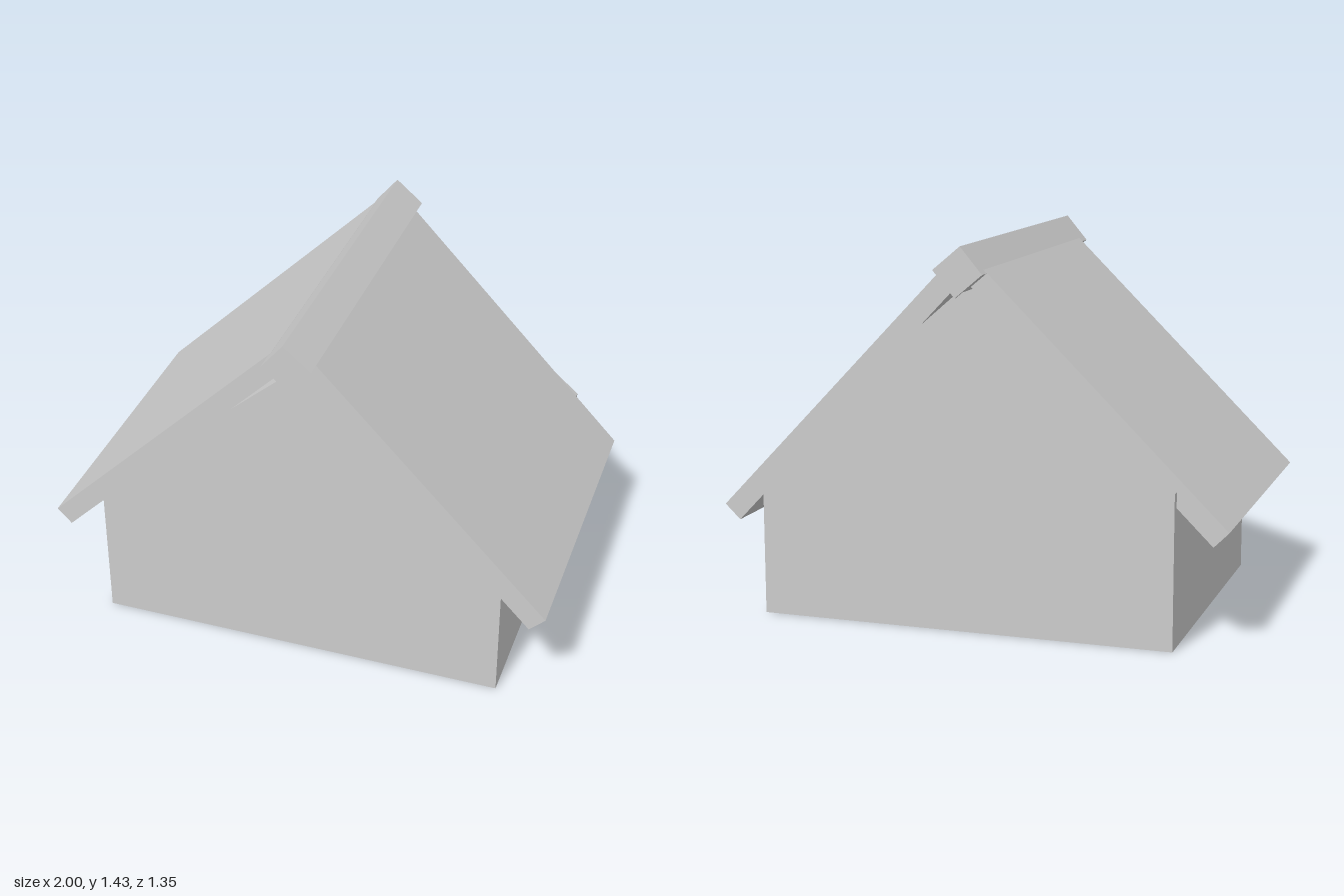
import * as THREE from 'three';

const material = new THREE.MeshStandardMaterial({ color: 0xcccccc, flatShading: true });
const deg = THREE.MathUtils.degToRad;

// A long beam running front to back, tilted about z.
function beam(name, width, height, depth, x, y, z, tilt) {
  const mesh = new THREE.Mesh(new THREE.BoxGeometry(width, height, depth), material);
  mesh.name = name;
  mesh.position.set(x, y, z);
  mesh.rotation.z = deg(tilt);
  return mesh;
}

export function createModel() {
  const model = new THREE.Group();
  model.name = 'house';

  // The whole house is turned slightly about y.
  const turned = new THREE.Group();
  turned.name = 'turnedHouse';
  turned.rotation.y = deg(2);
  model.add(turned);

  // Gabled body, extruded front to back.
  const half = 0.796, eave = 0.58, apex = 1.27, depth = 1.226;
  const gable = new THREE.Shape([
    new THREE.Vector2(-half, 0),
    new THREE.Vector2(half, 0),
    new THREE.Vector2(half, eave),
    new THREE.Vector2(0, apex),
    new THREE.Vector2(-half, eave),
  ]);
  const body = new THREE.Mesh(
    new THREE.ExtrudeGeometry(gable, { depth, bevelEnabled: false }), material);
  body.name = 'gabledBody';
  body.position.set(0.006, 0, -0.04 - depth / 2);
  turned.add(body);

  // Uneven roof slabs and the ridge beam.
  turned.add(
    beam('rightRoofSlab', 1.277, 0.083, 1.22, 0.509, 0.839, -0.008, -46.4),
    beam('leftRoofSlab', 1.277, 0.08, 1.22, -0.4985, 0.866, -0.012, 44.6),
    beam('ridgeBeam', 0.137, 0.13, 1.342, 0.012, 1.335, 0, -40),
  );
  return model;
}
